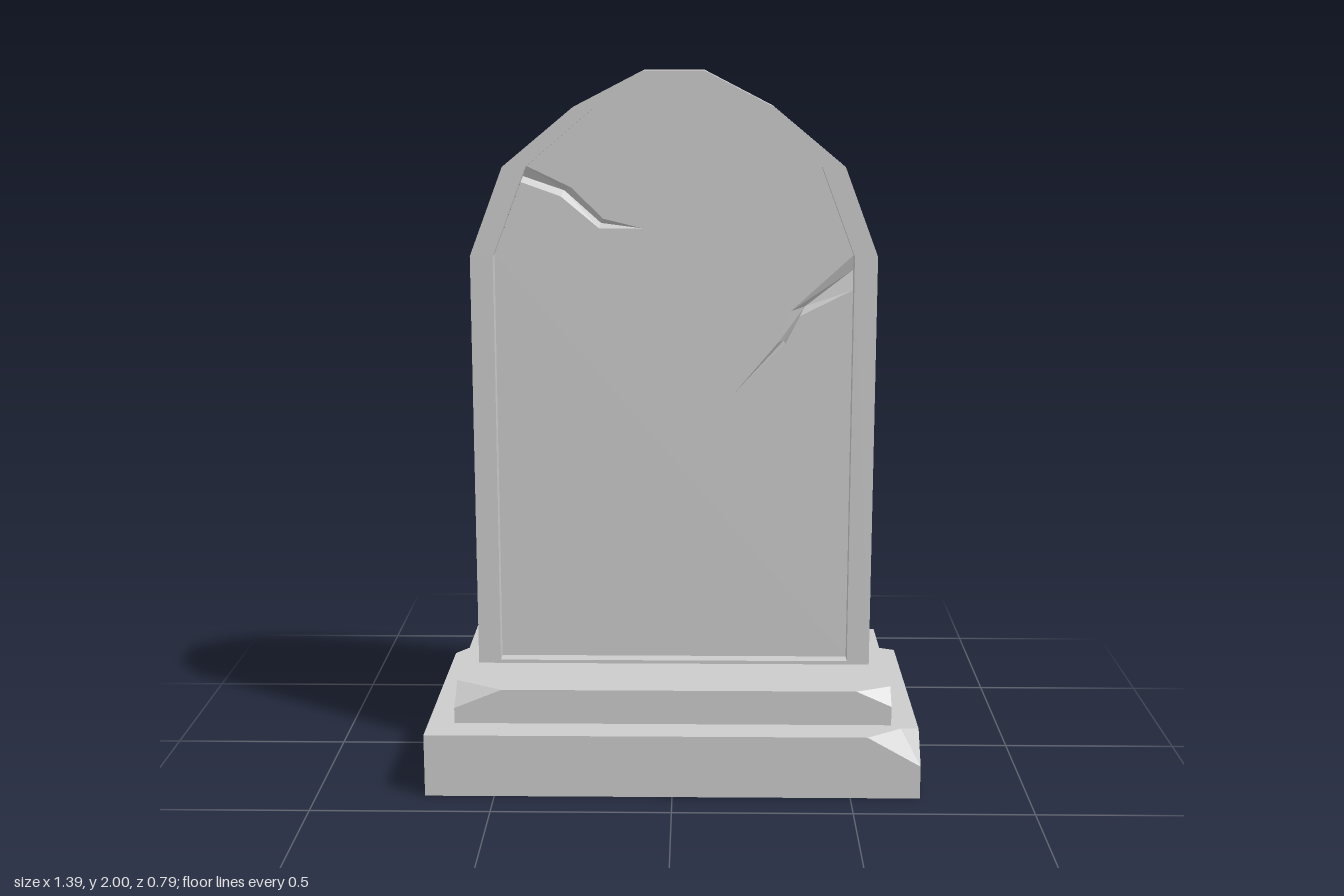
import * as THREE from 'three';

const material = new THREE.MeshStandardMaterial({ color: 0xcccccc, flatShading: true });

const at = (points, z) => points.map(([x, y]) => [x, y, z]);
const mirror = half => [...half, ...half.map(([x, y]) => [-x, y]).reverse()];
const toShape = points => new THREE.Shape(points.map(([x, y]) => new THREE.Vector2(x, y)));

function addMesh(group, name, geometry) {
  const mesh = new THREE.Mesh(geometry, material);
  mesh.name = name;
  group.add(mesh);
  return mesh;
}

function fromTriangles(triangles) {
  const geometry = new THREE.BufferGeometry();
  geometry.setAttribute('position', new THREE.Float32BufferAttribute(triangles.flat(2), 3));
  geometry.computeVertexNormals();
  return geometry;
}

// Fan of triangles over a convex polygon
function fan(points) {
  return points.slice(2).map((p, i) => [points[0], points[i + 1], p]);
}

// Band of quads between two polylines of equal length
function strip(a, b, closed = false) {
  const triangles = [];
  for (let i = 0; i < a.length - (closed ? 0 : 1); i++) {
    const j = (i + 1) % a.length;
    triangles.push([a[i], b[i], b[j]], [a[i], b[j], a[j]]);
  }
  return triangles;
}

// Stone block with chipped upper corners.
// Chips run front right, back right, back left, front left; each has
// the [x, z] points of its top edge and the height it reaches down to.
function chippedBlock(hx, hz, y0, y1, chips) {
  const signs = [[1, 1], [1, -1], [-1, -1], [-1, 1]];
  const corners = signs.map(([sx, sz], i) => {
    const x = sx * hx, z = sz * hz, chip = chips[i];
    return {
      bottom: [x, y0, z],
      low: [x, chip ? chip.low : y1, z],
      top: (chip ? chip.edge : [[x, z]]).map(([px, pz]) => [px, y1, pz])
    };
  });
  const triangles = fan(corners.map(c => c.bottom).reverse());
  corners.forEach((a, i) => {
    const b = corners[(i + 1) % 4];
    triangles.push(...fan([a.bottom, b.bottom, b.low, b.top[0], a.top.at(-1), a.low]));
    triangles.push(...fan([a.low, ...[...a.top].reverse()]));
  });
  const top = corners.flatMap(c => c.top);
  const flat = top.map(([x, , z]) => new THREE.Vector2(x, -z));
  THREE.ShapeUtils.triangulateShape(flat, []).forEach(t => triangles.push(t.map(k => top[k])));
  return fromTriangles(triangles);
}

export function createModel() {
  const model = new THREE.Group();
  model.name = 'gravestone';

  // Stepped base
  addMesh(model, 'base', chippedBlock(0.695, 0.395, 0, 0.18, [
    { edge: [[0.545, 0.395], [0.645, 0.325], [0.695, 0.325]], low: 0.095 },
    { edge: [[0.695, -0.35], [0.595, -0.395]], low: 0.13 },
    { edge: [[-0.585, -0.395], [-0.66, -0.35], [-0.695, -0.3]], low: 0.1 },
    null
  ]));
  addMesh(model, 'plinth', chippedBlock(0.62, 0.3, 0.18, 0.28, [
    { edge: [[0.52, 0.3], [0.62, 0.255]], low: 0.235 },
    { edge: [[0.62, -0.26], [0.56, -0.26], [0.52, -0.3]], low: 0.235 },
    null,
    { edge: [[-0.62, 0.22], [-0.485, 0.3]], low: 0.225 }
  ]));

  // Upright slab with a raised rim
  const front = 0.072, back = -0.073, floor = 0.03, crackDepth = 0.022;
  const outer = mirror([[0.575, 0.28], [0.575, 1.485], [0.48, 1.735], [0.28, 1.9], [0.085, 2]]);
  const inner = mirror([[0.51, 0.29], [0.51, 1.485], [0.415, 1.735], [0.22, 1.9], [0.065, 1.97]]);

  const slab = new THREE.Group();
  slab.name = 'slab';
  model.add(slab);
  const rimShape = toShape(outer);
  rimShape.holes.push(toShape(inner));
  addMesh(slab, 'rimFace', new THREE.ShapeGeometry(rimShape)).position.z = front;
  addMesh(slab, 'slabEdge', fromTriangles(strip(at(outer, front), at(outer, back))));
  addMesh(slab, 'rimInnerWall', fromTriangles(strip(at(inner, floor), at(inner, front), true)));
  const backFace = addMesh(slab, 'backFace', new THREE.ShapeGeometry(toShape(outer)));
  backFace.rotation.y = Math.PI;
  backFace.position.z = back;

  // Cracks: two edges and a sunken valley, each from the rim to the tip
  const cracks = [
    {
      first: [[0.51, 1.385], [0.36, 1.31], [0.32, 1.23]],
      valley: [[0.51, 1.44], [0.375, 1.335], [0.315, 1.235]],
      second: [[0.51, 1.485], [0.335, 1.325], [0.3, 1.235]],
      tip: [0.17, 1.08]
    },
    {
      first: [[-0.415, 1.735], [-0.29, 1.675], [-0.2, 1.587]],
      valley: [[-0.427, 1.705], [-0.31, 1.665], [-0.207, 1.573]],
      second: [[-0.432, 1.69], [-0.32, 1.65], [-0.212, 1.56]],
      tip: [-0.09, 1.56]
    }
  ];
  const loops = cracks.map(c => [...c.first, c.tip, ...[...c.second].reverse()]);

  // Recessed panel, notched by the cracks
  const panel = [inner[0], ...loops[0], ...inner.slice(2, 7), ...loops[1], ...inner.slice(8)];
  addMesh(slab, 'panel', new THREE.ShapeGeometry(toShape(panel))).position.z = floor;

  for (const { first, valley, second, tip } of cracks) {
    const a = at([...first, tip], floor);
    const v = [...at(valley, floor - crackDepth), [...tip, floor]];
    const b = at([...second, tip], floor);
    addMesh(slab, 'crack', fromTriangles([...strip(a, v), ...strip(v, b), [a[0], b[0], v[0]]]));
  }
  return model;
}
